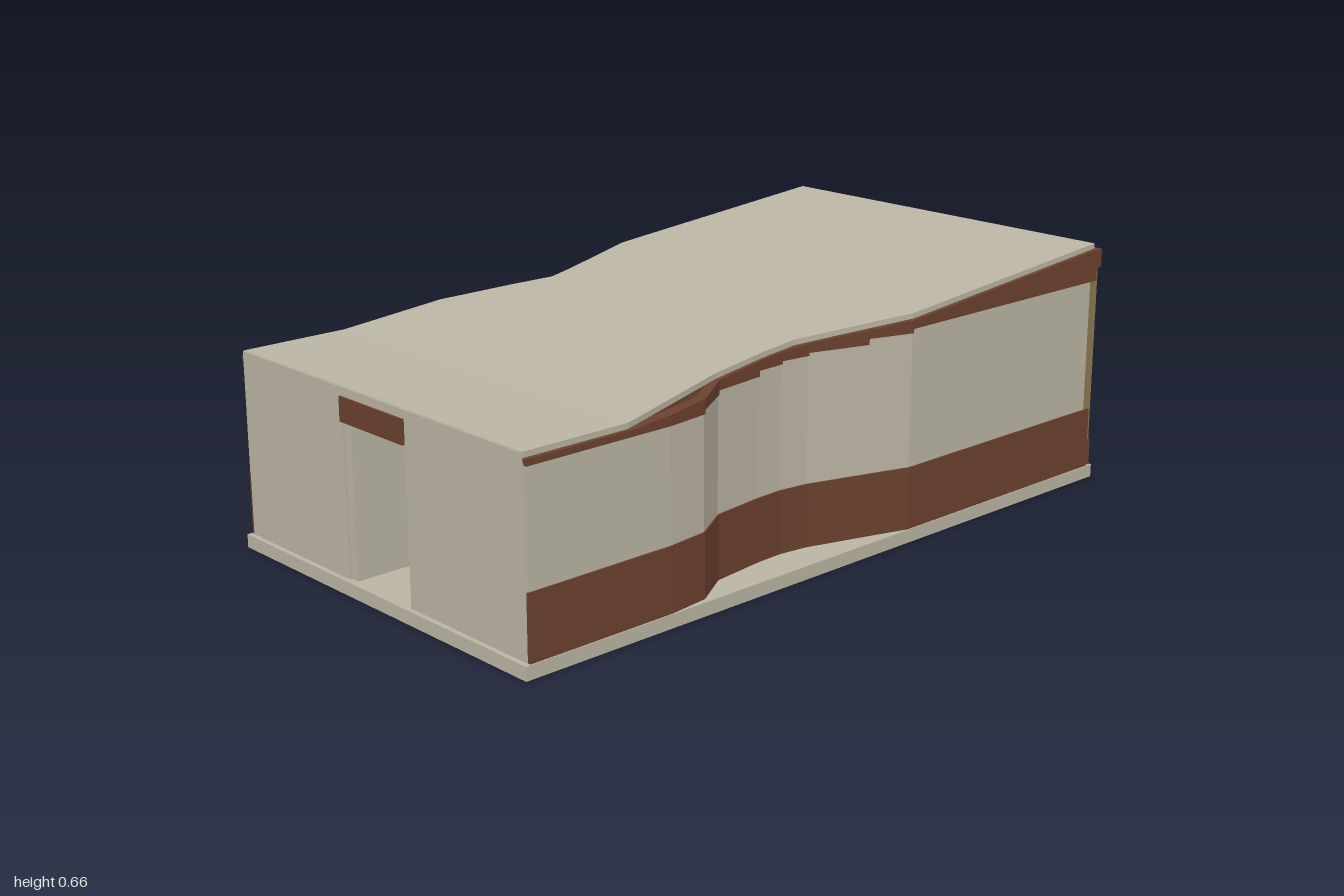
import * as THREE from 'three';

const paint = (name, color) => {
  const m = new THREE.MeshStandardMaterial({ color });
  m.name = name;
  return m;
};

export function createModel() {
  const model = new THREE.Group();
  model.name = 'pavilion';
  const cream = paint('cream plaster', 0xbab4a3);
  const brown = paint('brown timber', 0x6b412e);
  const tan = paint('tan frame', 0x8f7950);
  const glass = paint('blue glass', 0x566872);

  const add = (name, geometry, material, parent = model) => {
    const mesh = new THREE.Mesh(geometry, material);
    mesh.name = name;
    parent.add(mesh);
    return mesh;
  };

  // Box given by its limits on each axis
  const block = (name, material, [x0, x1], [y0, y1], [z0, z1], parent) => {
    const mesh = add(name, new THREE.BoxGeometry(x1 - x0, y1 - y0, z1 - z0), material, parent);
    mesh.position.set((x0 + x1) / 2, (y0 + y1) / 2, (z0 + z1) / 2);
    return mesh;
  };

  // Solid through rectangular sections running from front to back
  const loft = (sections) => {
    const rings = sections.map(({ z, x0, x1, y0, y1 }) =>
      [[x0, y0, z], [x1, y0, z], [x1, y1, z], [x0, y1, z]]);
    const pos = [];
    const quad = (a, b, c, d) => pos.push(...a, ...b, ...c, ...a, ...c, ...d);
    for (let i = 0; i < rings.length - 1; i++) {
      const a = rings[i], b = rings[i + 1];
      for (let j = 0; j < 4; j++) {
        const k = (j + 1) % 4;
        quad(a[j], b[j], b[k], a[k]);
      }
    }
    const f = rings[0], e = rings[rings.length - 1];
    quad(f[0], f[1], f[2], f[3]);
    quad(e[3], e[2], e[1], e[0]);
    const g = new THREE.BufferGeometry();
    g.setAttribute('position', new THREE.Float32BufferAttribute(pos, 3));
    g.computeVertexNormals();
    return g;
  };

  // Roof is level at the front, then climbs to the back
  const roofY = (z) => 0.515 + Math.max(0, 0.69 - z) * 0.0868;
  const creamTop = (z) => THREE.MathUtils.clamp(0.485 + (0.57 - z) * 0.093, 0.485, 0.56);

  // Interpolates x along a [x, z] outline ordered front to back
  const xAt = (path, z) => {
    for (let i = 0; i < path.length - 1; i++) {
      const [xa, za] = path[i], [xb, zb] = path[i + 1];
      if (z <= za && z >= zb) return xa + (xb - xa) * (za - z) / (za - zb);
    }
    return path[path.length - 1][0];
  };

  // Floor slab
  block('floorSlab', cream, [-0.557, 0.557], [0, 0.035], [-1, 1]);

  // Roof with a waist on both sides
  const roofLeft = [[0.543, 0.985], [0.543, 0.69], [0.465, 0.35], [0.448, 0.18],
    [0.446, 0.07], [0.475, -0.03], [0.543, -0.25], [0.543, -0.98]];
  const roofRight = [[0.543, 0.985], [0.543, 0.39], [0.49, 0.19], [0.455, 0.08],
    [0.468, 0.02], [0.503, -0.11], [0.543, -0.25], [0.543, -0.98]];
  const stations = [...new Set([...roofLeft, ...roofRight].map((p) => p[1]).concat(0.69))]
    .sort((a, b) => b - a);
  add('roof', loft(stations.map((z) => ({
    z, x0: -xAt(roofRight, z), x1: xAt(roofLeft, z), y0: roofY(z) - 0.014, y1: roofY(z),
  }))), cream);

  // Curved side walls: brown base, cream middle, stepped brown trim under the roof
  const wallPaths = {
    left: [[0.55, 0.985], [0.55, 0.69], [0.55, 0.57], [0.537, 0.455], [0.473, 0.35],
      [0.455, 0.2], [0.452, 0.12], [0.463, 0.04], [0.512, -0.12], [0.55, -0.24], [0.55, -0.98]],
    right: [[0.55, 0.985], [0.55, 0.69], [0.55, 0.38], [0.541, 0.25], [0.485, 0.13],
      [0.463, 0.05], [0.475, -0.02], [0.512, -0.12], [0.55, -0.22], [0.55, -0.98]],
  };
  for (const [side, path] of Object.entries(wallPaths)) {
    const s = side === 'left' ? 1 : -1;
    const wall = new THREE.Group();
    wall.name = `${side}Wall`;
    model.add(wall);
    const section = ([x, z], out, y0, y1) => {
      const a = s * (x + out), b = s * (x - 0.025);
      return { z, x0: Math.min(a, b), x1: Math.max(a, b), y0, y1 };
    };
    add('wallBase', loft(path.map((p) => section(p, 0.004, 0.035, 0.2))), brown, wall);
    for (let i = 0; i < path.length - 1; i++) {
      const ends = [path[i], path[i + 1]];
      const step = creamTop(path[i][1]);
      add('wallPanel', loft(ends.map((p) => section(p, 0, 0.2, step))), cream, wall);
      add('wallTrim', loft(ends.map((p) => section(p, 0.005, step, roofY(p[1]) - 0.014))), brown, wall);
    }
  }

  // Front wall with doorway
  const frontZ = [0.965, 0.987];
  block('frontWallRight', cream, [-0.545, -0.125], [0.035, 0.492], frontZ);
  block('frontWallLeft', cream, [0.122, 0.545], [0.035, 0.492], frontZ);
  block('frontFascia', cream, [-0.543, 0.543], [0.492, 0.514], [0.965, 0.989]);
  block('doorHeader', brown, [-0.125, 0.122], [0.43, 0.492], [0.965, 0.994]);
  block('entryPartition', cream, [-0.125, -0.1], [0.035, 0.48], [0.5, 0.98]);

  // Glazed back wall
  block('backSill', brown, [-0.55, 0.55], [0.035, 0.11], [-0.998, -0.965]);
  block('backHeader', brown, [-0.555, 0.555], [0.595, 0.645], [-0.998, -0.965]);
  block('backGlass', glass, [-0.54, 0.54], [0.11, 0.597], [-0.978, -0.97]);
  for (const x of [-0.541, 0, 0.541]) {
    block('windowPost', tan, [x - 0.01, x + 0.01], [0.11, 0.597], [-0.989, -0.96]);
  }

  // Table inside
  const table = new THREE.Group();
  table.name = 'table';
  model.add(table);
  block('tableTop', brown, [-0.1, 0.11], [0.15, 0.16], [-0.1, 0.25], table);
  block('tableSupport', cream, [-0.1, -0.08], [0.035, 0.15], [-0.1, 0.25], table);
  for (const z of [-0.08, 0.22]) {
    block('tableLeg', tan, [0.087, 0.103], [0.035, 0.15], [z, z + 0.016], table);
  }

  // Seat beside the table
  const seat = add('roundSeat', new THREE.CylinderGeometry(0.05, 0.04, 0.1, 16), brown);
  seat.position.set(0.155, 0.085, 0.1);

  return model;
}
